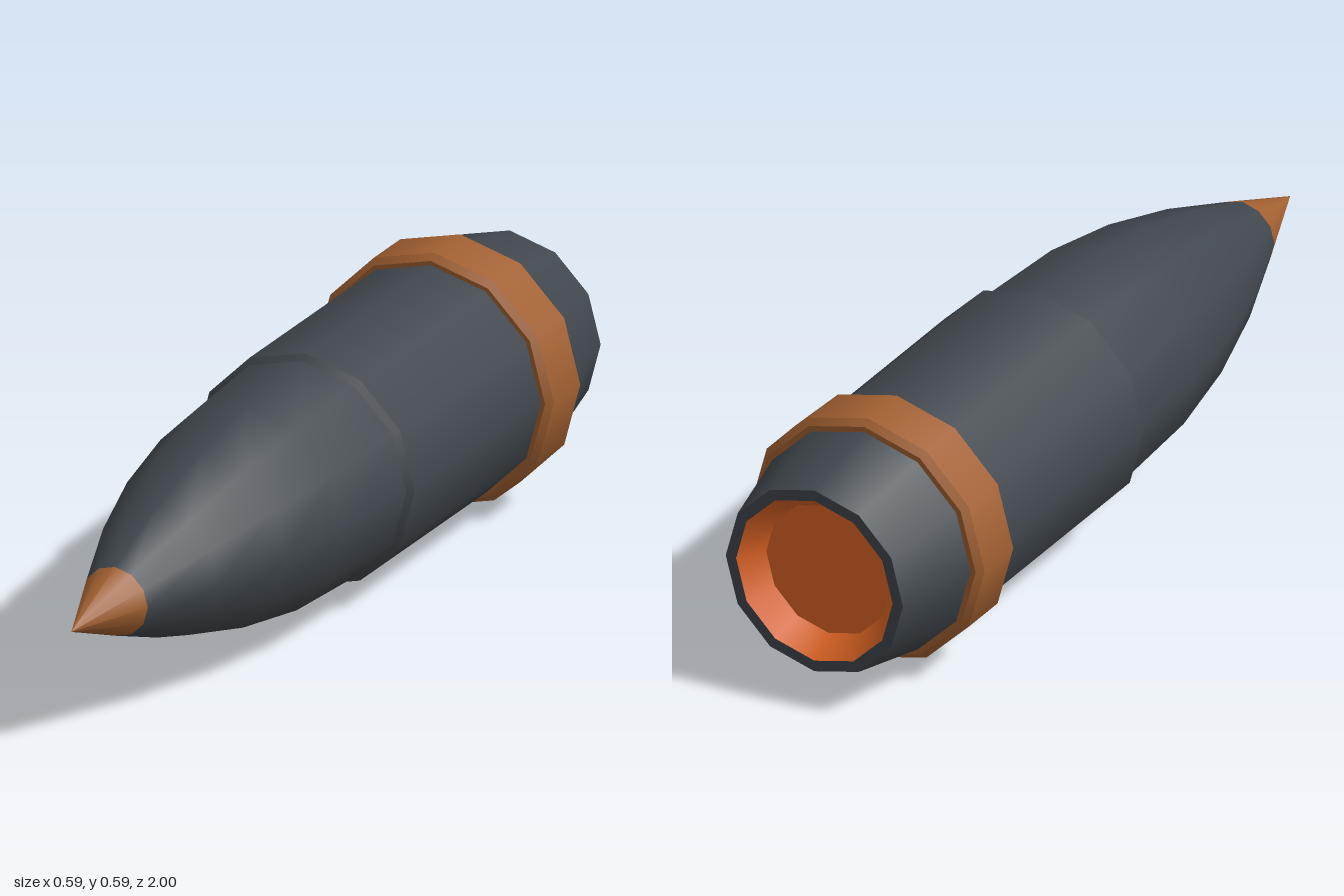
import * as THREE from 'three';
import { mergeGeometries } from 'three/addons/utils/BufferGeometryUtils.js';

const SIDES = 12;
const AXIS_Y = 0.294;

// Turn one smooth profile of [radius, z] points (rear to front) about the z axis
function turn(points) {
  const g = new THREE.LatheGeometry(points.map(([r, z]) => new THREE.Vector2(r, z)), SIDES);
  return g.rotateX(Math.PI / 2);
}

// Each consecutive pair becomes its own ring, so profile corners stay sharp
function turnSharp(points) {
  return mergeGeometries(points.slice(1).map((p, i) => turn([points[i], p])));
}

export function createModel() {
  const steel = new THREE.MeshStandardMaterial({ color: 0x40474d });
  steel.name = 'dark steel';
  const copper = new THREE.MeshStandardMaterial({ color: 0xa26031 });
  copper.name = 'copper';
  const orange = new THREE.MeshStandardMaterial({ color: 0xdd6424 });
  orange.name = 'glowing orange';

  const group = new THREE.Group();
  group.name = 'shell';
  const add = (name, geometry, material) => {
    const mesh = new THREE.Mesh(geometry, material);
    mesh.name = name;
    mesh.position.y = AXIS_Y;
    group.add(mesh);
  };

  // Recessed base, open to the rear
  add('baseRecess', turnSharp([[0, -0.94], [0.157, -0.94], [0.197, -1]]), orange);

  // Rim and tapered tail
  add('tail', turnSharp([[0.197, -1], [0.223, -1], [0.268, -0.785]]), steel);

  // Raised band with chamfered edges
  add('driveBand', turnSharp([
    [0.262, -0.79], [0.28, -0.79], [0.294, -0.775],
    [0.294, -0.655], [0.28, -0.64], [0.262, -0.64],
  ]), copper);

  // Straight body with a small chamfer at the front shoulder
  add('body', turnSharp([[0.27, -0.7], [0.27, -0.065], [0.256, -0.05]]), steel);

  // Curved nose
  add('nose', turn([
    [0.257, -0.055], [0.244, 0.2], [0.208, 0.41], [0.152, 0.61], [0.08, 0.8],
  ]), steel);

  // Pointed tip
  add('tip', turn([[0.08, 0.8], [0, 1]]), copper);

  return group;
}
